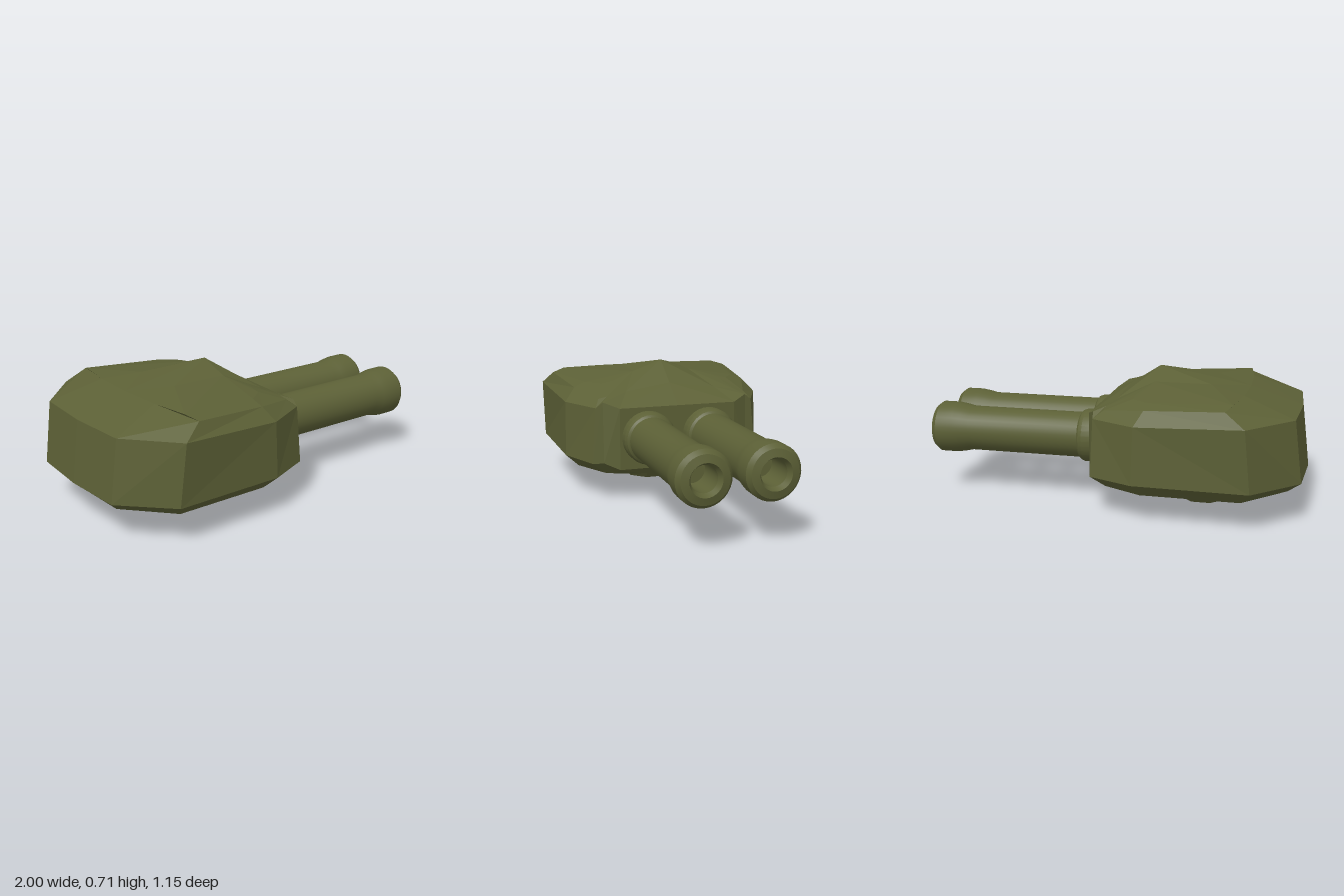
import * as THREE from 'three';
import { toCreasedNormals } from 'three/addons/utils/BufferGeometryUtils.js';

// Skin half cross-sections (back to front along +z side) and mirror them across z = 0
function loftMirrored(rings) {
  const pos = [];
  const tri = (a, b, c) => {
    const [A, B, C] = [a, b, c].map((p) => new THREE.Vector3(...p));
    if (B.sub(A).cross(C.sub(A)).length() < 1e-7) return;
    pos.push(...a, ...b, ...c);
    for (const [x, y, z] of [a, c, b]) pos.push(x, y, -z);
  };
  for (let i = 0; i < rings.length - 1; i++) {
    for (let k = 0; k < rings[i].length - 1; k++) {
      const a = rings[i][k], b = rings[i][k + 1];
      const c = rings[i + 1][k + 1], d = rings[i + 1][k];
      tri(a, b, c);
      tri(a, c, d);
    }
  }
  const g = new THREE.BufferGeometry();
  g.setAttribute('position', new THREE.Float32BufferAttribute(pos, 3));
  g.computeVertexNormals();
  return g;
}

export function createModel() {
  const model = new THREE.Group();
  model.name = 'twinGunTurret';
  const olive = new THREE.MeshStandardMaterial({ color: 0x5c6036 });
  olive.name = 'olive';

  const add = (name, geometry) => {
    const mesh = new THREE.Mesh(geometry, olive);
    mesh.name = name;
    model.add(mesh);
    return mesh;
  };

  // Octagonal pedestal sections, as half outlines with eight points
  const pedestalRing = (y, dx, zEnd, dxSide, zSide) => {
    const cx = -0.455;
    return [[-dx, 0], [-dx, zEnd], [-dxSide, zSide], [dxSide, zSide],
      [dx, zEnd], [dx, zEnd], [dx, zEnd], [dx, 0]].map(([x, z]) => [cx + x, y, z]);
  };
  const collar = pedestalRing(0.12, 0.235, 0.07, 0.06, 0.27);
  const foot = pedestalRing(0, 0.125, 0.05, 0.05, 0.125);
  const footCentre = foot.map(([x]) => [x, 0, 0]);

  // Faceted armour: lower bevel, side walls, shoulder, roof and peak
  const peak = [-0.21, 0.707, 0];
  const brow = [-0.21, 0.65, 0.16];
  const underside = [[-0.92, 0.14, 0], [-0.91, 0.14, 0.25], [-0.7, 0.14, 0.48], [-0.2, 0.14, 0.48],
    [0, 0.14, 0.38], [0.03, 0.14, 0.33], [0.07, 0.14, 0.2], [0.07, 0.14, 0]];
  const skirt = [[-1, 0.21, 0], [-0.98, 0.21, 0.33], [-0.75, 0.21, 0.56], [-0.17, 0.21, 0.555],
    [0.06, 0.21, 0.46], [0.07, 0.21, 0.4], [0.1, 0.175, 0.32], [0.1, 0.175, 0]];
  const shoulder = [[-0.96, 0.53, 0], [-0.94, 0.53, 0.33], [-0.72, 0.53, 0.575], [-0.18, 0.505, 0.55],
    [0.05, 0.505, 0.437], [0.055, 0.535, 0.4], [0.1, 0.505, 0.32], [0.1, 0.505, 0]];
  const eaves = [[-0.69, 0.62, 0], [-0.68, 0.62, 0.25], [-0.62, 0.6, 0.53], [-0.22, 0.575, 0.49],
    [0, 0.545, 0.41], [0, 0.555, 0.36], [-0.03, 0.57, 0.25], [-0.05, 0.603, 0]];
  const roof = [[-0.5, 0.655, 0], [-0.5, 0.648, 0.15], [-0.65, 0.62, 0.46], [-0.23, 0.6, 0.43],
    [-0.14, 0.6, 0.36], [-0.14, 0.61, 0.3], brow, peak];
  const crown = [peak, peak, brow, brow, brow, brow, brow, peak];

  add('armourBody', loftMirrored([collar, underside, skirt, shoulder, eaves, roof, crown]));
  add('pedestal', loftMirrored([footCentre, foot, collar]));

  // Hollow gun barrels with a collar at the root and a flared muzzle
  const profile = [[0.14, 0.05], [0.14, 0.15], [0.132, 0.17], [0.12, 0.18], [0.12, 0.79],
    [0.13, 0.835], [0.137, 0.88], [0.137, 0.965], [0.118, 0.99], [0.08, 1],
    [0.065, 0.97], [0.065, 0.8], [0, 0.8]].map(([r, h]) => new THREE.Vector2(r, h));
  const barrel = toCreasedNormals(new THREE.LatheGeometry(profile, 32).rotateZ(-Math.PI / 2), 0.4);
  for (const side of [1, -1]) {
    add(side > 0 ? 'leftBarrel' : 'rightBarrel', barrel).position.set(0, 0.345, side * 0.168);
  }
  return model;
}
